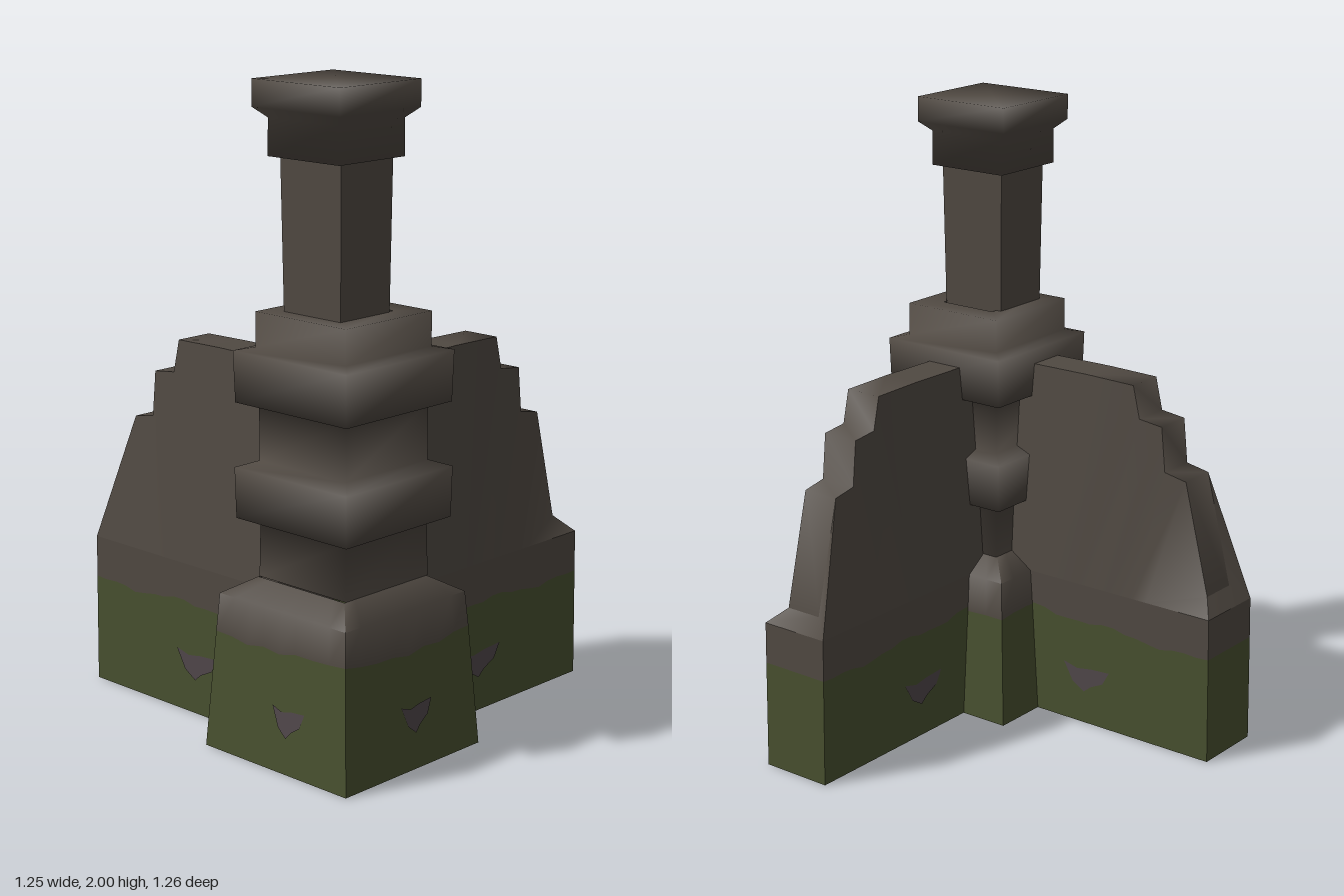
import * as THREE from 'three';
import { toCreasedNormals } from 'three/addons/utils/BufferGeometryUtils.js';

const mat = (name, color) => {
  const m = new THREE.MeshStandardMaterial({ color, side: THREE.DoubleSide });
  m.name = name;
  return m;
};

// Skin between successive rows of points (bottom to top, counter-clockwise from above)
function loft(rows, closed = true, crease = 1.3) {
  const pos = [];
  for (let r = 0; r + 1 < rows.length; r++) {
    const lo = rows[r], hi = rows[r + 1], n = lo.length;
    for (let i = 0; i < (closed ? n : n - 1); i++) {
      const j = (i + 1) % n;
      pos.push(...lo[i], ...lo[j], ...hi[j], ...lo[i], ...hi[j], ...hi[i]);
    }
  }
  const g = new THREE.BufferGeometry();
  g.setAttribute('position', new THREE.Float32BufferAttribute(pos, 3));
  return toCreasedNormals(g, crease);
}

// Square ring with n points per side; y may be a function of position
function square(half, y, n = 1, depth = 1) {
  const corners = [[-1, 1], [1, 1], [1, -1], [-1, -1]];
  const pts = [];
  corners.forEach(([x, z], k) => {
    const [x2, z2] = corners[(k + 1) % 4];
    for (let i = 0; i < n; i++) {
      const px = half * (x + (x2 - x) * i / n), pz = half * depth * (z + (z2 - z) * i / n);
      pts.push([px, typeof y === 'function' ? y(px, pz) : y, pz]);
    }
  });
  return pts;
}

// Ring around a wall: front side from the end inwards, then the back side returning
const wallRing = (us, half, y) => [
  ...us.map(u => [u, y(u), half]),
  ...us.slice().reverse().map(u => [u, y(u), -half]),
];

export function createModel() {
  const model = new THREE.Group();
  const stone = mat('brown stone', 0x504942);
  const moss = mat('moss green', 0x48502f);
  const bare = mat('bare patch', 0x50474a);

  const add = (parent, name, geo, material) => {
    const m = new THREE.Mesh(geo, material);
    m.name = name;
    parent.add(m);
    return m;
  };

  // Ragged bare spot in the moss
  const spot = (w, h) => {
    const s = new THREE.Shape();
    [[-.5, .5], [-.2, .35], [.1, .45], [.5, .5], [.36, 0], [.1, -.25], [-.05, -.5], [-.3, -.2]]
      .forEach(([x, y], i) => (i ? s.lineTo(x * w, y * h) : s.moveTo(x * w, y * h)));
    return new THREE.ShapeGeometry(s);
  };

  // Corner post, stacked from square sections
  const post = new THREE.Group();
  post.name = 'cornerPost';
  model.add(post);
  const tower = (name, x, z, crease, depth, levels) => {
    const rows = levels.map(([h, y]) => square(h, y, 1, depth));
    add(post, name, loft(rows, true, crease), stone).position.set(x, 0, z);
  };

  const base = new THREE.Group();
  base.name = 'postBase';
  base.position.set(.334, 0, .343);
  post.add(base);
  const mossLine = (x, z) => .364 + .013 * Math.cos(9 * x + 1) * Math.cos(9 * z) + .006 * Math.sin(40 * (x + z));
  const split = square(.2655, mossLine, 8);
  add(base, 'mossyBase', loft([square(.29, 0, 8), split]), moss);
  add(base, 'baseShoulder', loft([split, square(.257, .48, 8), square(.176, .53, 8)]), stone);
  const tilt = Math.atan(.033 / .48);
  for (const turn of [0, Math.PI / 2]) {
    const side = new THREE.Group();
    side.name = 'baseSpot';
    side.rotation.y = turn;
    base.add(side);
    const s = add(side, 'bareSpot', spot(.13, .09), bare);
    s.position.set(turn ? .02 : .05, .155, .2825);
    s.rotation.x = -tilt;
  }

  // Worn, softly shaded bands and cap; the slim shaft keeps crisp corners
  tower('bandedShaft', .334, .338, Math.PI, 1, [
    [.176, .53], [.173, .70], [.223, .71], [.226, .865], [.174, .885], [.174, 1.055],
    [.223, 1.06], [.227, 1.215], [.18, 1.225], [.18, 1.33], [.1, 1.33],
  ]);
  tower('upperShaft', .328, .361, 1.3, .9, [[.113, 1.32], [.119, 1.78]]);
  tower('cap', .326, .36, Math.PI, .955, [
    [.11, 1.78], [.141, 1.78], [.14, 1.89], [.173, 1.92], [.173, 2], [0, 2],
  ]);

  // Two stepped walls meeting at the post
  const profile = [
    [-.575, .53], [-.485, .89], [-.405, .905], [-.39, 1.05],
    [-.305, 1.06], [-.28, 1.165], [-.1, 1.168], [.2, 1.165],
  ];
  const half = .12, topHalf = .0625;

  // Feet of the leaning sides, spread by distance along the stepped crest
  const lengths = [0];
  profile.slice(1).forEach(([u, y], i) =>
    lengths.push(lengths[i] + Math.hypot(u - profile[i][0], y - profile[i][1])));
  const feet = lengths.map(d => -.62 + .82 * d / lengths.at(-1));

  function wall(name) {
    const g = new THREE.Group();
    g.name = name;
    model.add(g);
    const span = start => Array.from({ length: 19 }, (_, i) => start + (.2 - start) * i / 18);
    const line = u => .36 + .035 * u + .008 * Math.sin(19 * u) + .004 * Math.sin(47 * u);
    const middle = wallRing(span(-.6225), half, line);
    add(g, 'mossyFoot', loft([wallRing(span(-.628), half, () => 0), middle]), moss);
    add(g, 'stoneCourse', loft([middle, wallRing(span(-.62), half, () => .48)]), stone);

    // Sides lean in from the foot to the stepped crest
    const crest = t => profile.map(([u, y]) => [u, y, t]);
    const front = crest(topHalf), back = crest(-topHalf);
    const low = wallRing(feet, half, () => .48);
    add(g, 'steppedUpper', loft([low, [...front, ...back.slice().reverse()]], true, 1), stone);
    add(g, 'steppedCrest', loft([front, back], false, Math.PI), stone);

    for (const s of [1, -1]) {
      const m = add(g, 'bareSpot', spot(.18, .09), bare);
      m.position.set(-.155, .155, s * (half + .003));
      if (s < 0) m.rotation.y = Math.PI;
    }
    return g;
  }
  wall('sideWall').position.z = .36;
  const rear = wall('rearWall');
  rear.rotation.y = -Math.PI / 2;
  rear.position.x = .33;

  return model;
}
